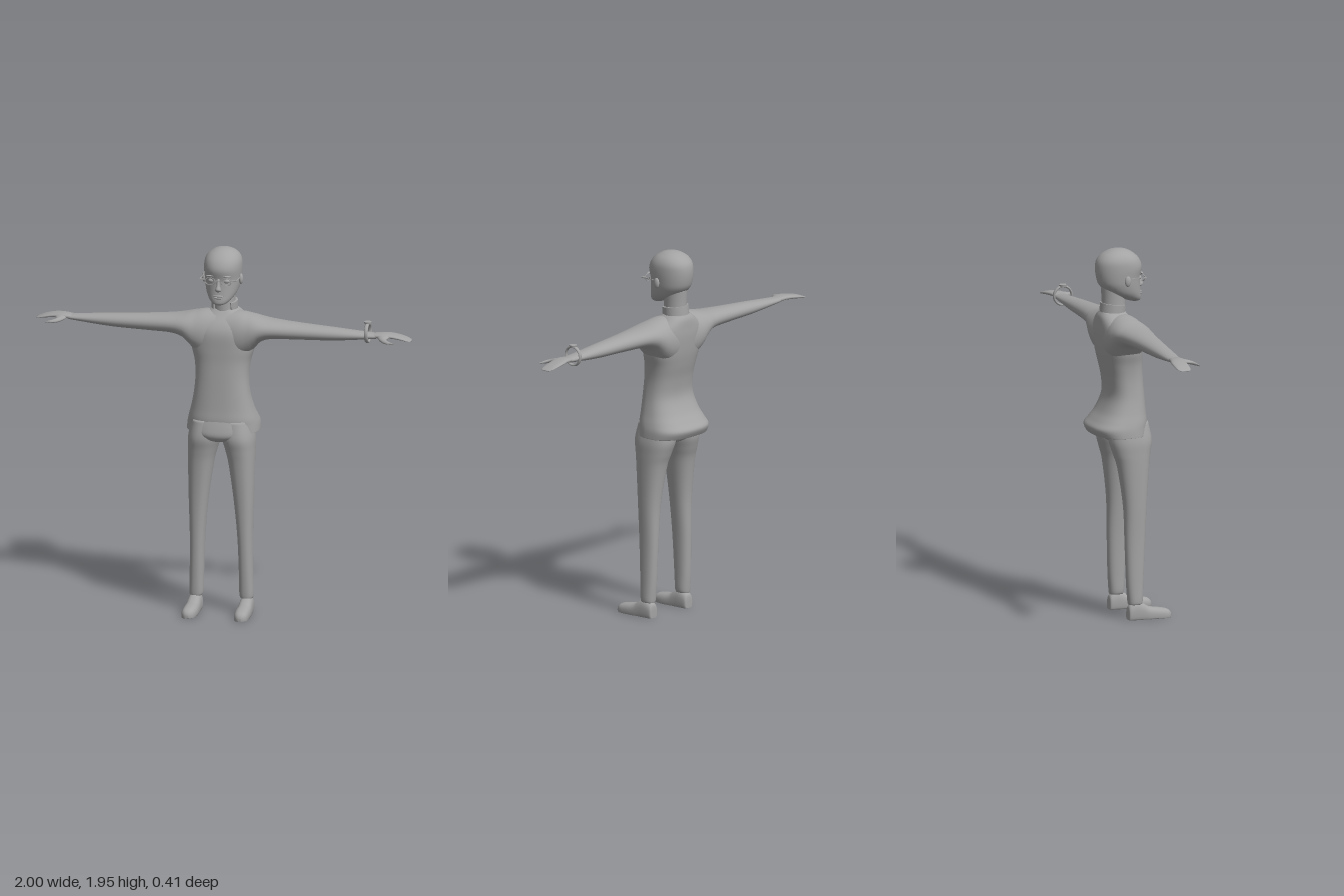
import * as THREE from 'three';

const grey = new THREE.MeshStandardMaterial({ color: 0xa3a3a3, side: THREE.DoubleSide });
grey.name = 'plain grey';

// Smooth closed skin over cross-sections [t, aMin, aMax, bMin, bMax].
// axis y: a = x, b = z;  axis x: a = y, b = z;  axis z: a = x, b = y.
function loft(axis, sections, power = 2, steps = 5, seg = 32) {
  const rows = [];
  const last = sections.length - 1;
  const at = (i) => sections[Math.min(Math.max(i, 0), last)];
  for (let i = 0; i < last; i++) {
    for (let k = 0; k < steps; k++) {
      const u = k / steps;
      rows.push(at(i).map((p1, c) => {
        const p0 = at(i - 1)[c], p2 = at(i + 1)[c], p3 = at(i + 2)[c];
        return p1 + 0.5 * u * (p2 - p0 + u * (2 * p0 - 5 * p1 + 4 * p2 - p3 + u * (3 * (p1 - p2) + p3 - p0)));
      }));
    }
  }
  rows.push(sections[last]);
  const pos = [], idx = [];
  const put = (t, a, b) => {
    const p = axis === 'y' ? [a, t, b] : axis === 'x' ? [t, a, b] : [a, b, t];
    pos.push(p[0], Math.max(p[1], 0), p[2]);
  };
  const soft = (v) => Math.sign(v) * Math.pow(Math.abs(v), 2 / power);
  for (const [t, a0, a1, b0, b1] of rows) {
    for (let j = 0; j < seg; j++) {
      const w = (j / seg) * Math.PI * 2;
      put(t, (a0 + a1) / 2 + soft(Math.cos(w)) * (a1 - a0) / 2, (b0 + b1) / 2 + soft(Math.sin(w)) * (b1 - b0) / 2);
    }
  }
  for (const [t, a0, a1, b0, b1] of [rows[0], rows[rows.length - 1]]) put(t, (a0 + a1) / 2, (b0 + b1) / 2);
  const n = rows.length;
  for (let j = 0; j < seg; j++) {
    const k = (j + 1) % seg;
    for (let i = 0; i < n - 1; i++) {
      const a = i * seg + j, b = i * seg + k;
      idx.push(a, a + seg, b, b, a + seg, b + seg);
    }
    idx.push(n * seg, j, k, n * seg + 1, (n - 1) * seg + k, (n - 1) * seg + j);
  }
  // Turn the faces outward when the enclosed volume comes out negative
  let volume = 0;
  const v = (i) => new THREE.Vector3().fromArray(pos, i * 3);
  for (let i = 0; i < idx.length; i += 3) volume += v(idx[i]).dot(v(idx[i + 1]).cross(v(idx[i + 2])));
  if (volume < 0) idx.reverse();
  const g = new THREE.BufferGeometry();
  g.setAttribute('position', new THREE.Float32BufferAttribute(pos, 3));
  g.setIndex(idx);
  g.computeVertexNormals();
  return g;
}

// Mirrors section rows to the side s: the span along x may be t or a
const alongX = (s, rows) => rows.map(([t, ...r]) => [s * t, ...r]);
const acrossX = (s, rows) => rows.map(([t, a, b, ...r]) => [t, Math.min(s * a, s * b), Math.max(s * a, s * b), ...r]);
const centred = (rows) => rows.map(([t, w, lo, hi]) => [t, -w, w, lo, hi]);

export function createModel() {
  const model = new THREE.Group();
  model.name = 'standingFigure';
  const add = (name, geometry, x = 0, y = 0, z = 0) => {
    const m = new THREE.Mesh(geometry, grey);
    m.name = name;
    m.position.set(x, y, z);
    model.add(m);
    return m;
  };
  const ball = (name, x, y, z, rx, ry, rz) => add(name, new THREE.SphereGeometry(1, 20, 14), x, y, z).scale.set(rx, ry, rz);

  // Head and neck: height, half width, back, front
  add('head', loft('y', centred([
    [1.663, 0.012, 0.045, 0.07], [1.672, 0.036, 0.015, 0.085], [1.69, 0.058, -0.035, 0.087],
    [1.72, 0.078, -0.095, 0.083], [1.76, 0.09, -0.137, 0.08], [1.8, 0.095, -0.152, 0.08],
    [1.85, 0.098, -0.157, 0.09], [1.89, 0.094, -0.15, 0.077], [1.92, 0.077, -0.126, 0.05],
    [1.94, 0.048, -0.09, 0.016], [1.948, 0.022, -0.06, -0.012], [1.95, 0.003, -0.038, -0.032],
  ]), 2.15));
  add('neck', loft('y', centred([[1.56, 0.062, -0.13, 0], [1.65, 0.056, -0.123, 0], [1.76, 0.06, -0.128, 0]])));

  // Face
  add('nose', loft('y', centred([
    [1.738, 0.006, 0.07, 0.088], [1.745, 0.016, 0.068, 0.098], [1.755, 0.015, 0.068, 0.104],
    [1.775, 0.009, 0.068, 0.095], [1.81, 0.007, 0.065, 0.085],
  ]), 2, 4, 16));
  ball('upperLip', 0, 1.716, 0.083, 0.028, 0.005, 0.008);
  ball('lowerLip', 0, 1.706, 0.084, 0.024, 0.006, 0.008);

  // Glasses
  add('glassesBridge', new THREE.BoxGeometry(0.03, 0.004, 0.004), 0, 1.8, 0.09);
  for (const s of [1, -1]) {
    ball('eye', s * 0.04, 1.795, 0.068, 0.017, 0.011, 0.01);
    ball('eyebrow', s * 0.042, 1.822, 0.074, 0.026, 0.004, 0.009);
    ball('ear', s * 0.098, 1.79, -0.018, 0.011, 0.028, 0.017);
    const rim = add('glassesRim', new THREE.TorusGeometry(0.026, 0.0025, 8, 28), s * 0.043, 1.795, 0.085);
    rim.scale.y = 0.75;
    add('glassesHinge', new THREE.BoxGeometry(0.032, 0.005, 0.004), s * 0.084, 1.803, 0.084);
    add('glassesTemple', new THREE.BoxGeometry(0.004, 0.005, 0.1), s * 0.098, 1.803, 0.036);
  }

  // Standing collar, open at the front
  const arc = new THREE.Shape();
  const gap = 0.75;
  arc.absarc(0, 0, 0.069, -Math.PI / 2 + gap, Math.PI * 1.5 - gap, false);
  arc.absarc(0, 0, 0.056, Math.PI * 1.5 - gap, -Math.PI / 2 + gap, true);
  const collar = add('collar', new THREE.ExtrudeGeometry(arc, { depth: 0.048, bevelEnabled: false, curveSegments: 32 }), 0, 1.612, -0.066);
  collar.rotation.x = -Math.PI / 2 + 0.1;

  // Jacket body with a flared skirt turned under at the hem
  add('jacket', loft('y', centred([
    [1.05, 0.13, -0.09, 0.07], [0.995, 0.165, -0.15, 0.08], [0.978, 0.185, -0.172, 0.088], [0.974, 0.19, -0.18, 0.092],
    [0.98, 0.191, -0.188, 0.094], [1.015, 0.188, -0.202, 0.098], [1.05, 0.179, -0.175, 0.1],
    [1.1, 0.164, -0.138, 0.095], [1.18, 0.147, -0.106, 0.089], [1.27, 0.14, -0.112, 0.083],
    [1.35, 0.147, -0.13, 0.078], [1.42, 0.165, -0.143, 0.077], [1.5, 0.17, -0.15, 0.074],
    [1.55, 0.155, -0.149, 0.054], [1.595, 0.1, -0.145, 0.015], [1.62, 0.066, -0.132, -0.006],
  ]), 2.5, 5, 48));

  // Shoulders, sleeves and hands: x, bottom, top, back, front
  const sleeve = [
    [0.09, 1.36, 1.612, -0.146, 0.07], [0.14, 1.39, 1.604, -0.146, 0.072],
    [0.175, 1.428, 1.597, -0.14, 0.072], [0.21, 1.461, 1.589, -0.132, 0.068], [0.27, 1.479, 1.58, -0.116, 0.058],
    [0.4, 1.483, 1.569, -0.096, 0.04], [0.6, 1.489, 1.555, -0.082, 0.02],
    [0.78, 1.506, 1.54, -0.073, 0.002], [0.825, 1.512, 1.538, -0.068, -0.004],
  ];
  const yoke = [...alongX(-1, sleeve).reverse(), [0, 1.35, 1.612, -0.146, 0.06], ...sleeve];
  add('shouldersAndSleeves', loft('x', yoke, 2.1));
  for (const s of [1, -1]) {
    add('hand', loft('x', alongX(s, [
      [0.79, 1.512, 1.536, -0.066, -0.008], [0.85, 1.516, 1.542, -0.078, 0], [0.9, 1.515, 1.538, -0.09, -0.008],
      [0.95, 1.509, 1.527, -0.091, -0.012], [0.985, 1.504, 1.514, -0.085, -0.016], [1, 1.503, 1.507, -0.068, -0.028],
    ]), 2.4));
    add('thumb', loft('z', acrossX(s, [
      [-0.03, 0.825, 0.91, 1.517, 1.538], [0, 0.832, 0.888, 1.512, 1.535], [0.025, 0.846, 0.884, 1.508, 1.529],
      [0.045, 0.868, 0.906, 1.505, 1.522], [0.056, 0.895, 0.935, 1.506, 1.514],
    ]), 2, 5, 20));

    // Trouser leg and foot
    add('trouserLeg', loft('y', acrossX(s, [
      [0.08, 0.105, 0.165, -0.03, 0.043], [0.1, 0.097, 0.17, -0.033, 0.047], [0.2, 0.095, 0.168, -0.04, 0.052],
      [0.4, 0.088, 0.166, -0.046, 0.062], [0.6, 0.07, 0.171, -0.051, 0.073], [0.8, 0.042, 0.175, -0.077, 0.089],
      [0.88, 0.023, 0.176, -0.1, 0.1], [0.95, 0.004, 0.174, -0.118, 0.111], [1.04, 0.002, 0.155, -0.11, 0.095],
    ]), 2.3));
    add('foot', loft('z', acrossX(s, [
      [-0.035, 0.118, 0.156, -0.01, 0.045], [-0.028, 0.106, 0.167, -0.02, 0.075], [0.01, 0.102, 0.172, -0.025, 0.095],
      [0.045, 0.101, 0.174, -0.025, 0.085], [0.08, 0.1, 0.176, -0.025, 0.064], [0.13, 0.099, 0.178, -0.025, 0.055],
      [0.175, 0.106, 0.175, -0.025, 0.046], [0.195, 0.119, 0.163, -0.015, 0.033], [0.203, 0.132, 0.15, 0, 0.018],
    ]), 2.4));
  }

  // Hips joining the legs
  add('trouserHips', loft('y', centred([
    [0.924, 0.01, -0.03, 0.04], [0.93, 0.05, -0.08, 0.085], [0.945, 0.11, -0.11, 0.108], [0.97, 0.16, -0.118, 0.118],
    [1.01, 0.165, -0.115, 0.11], [1.06, 0.15, -0.105, 0.094],
  ]), 2.4));

  // Wristwatch on the left arm
  const strap = add('watchStrap', new THREE.TorusGeometry(0.049, 0.006, 10, 40), 0.77, 1.537, -0.041);
  strap.rotation.y = Math.PI / 2;
  strap.scale.z = 1.7;
  add('watchCase', new THREE.CylinderGeometry(0.02, 0.018, 0.012, 24), 0.77, 1.59, -0.041);
  return model;
}
